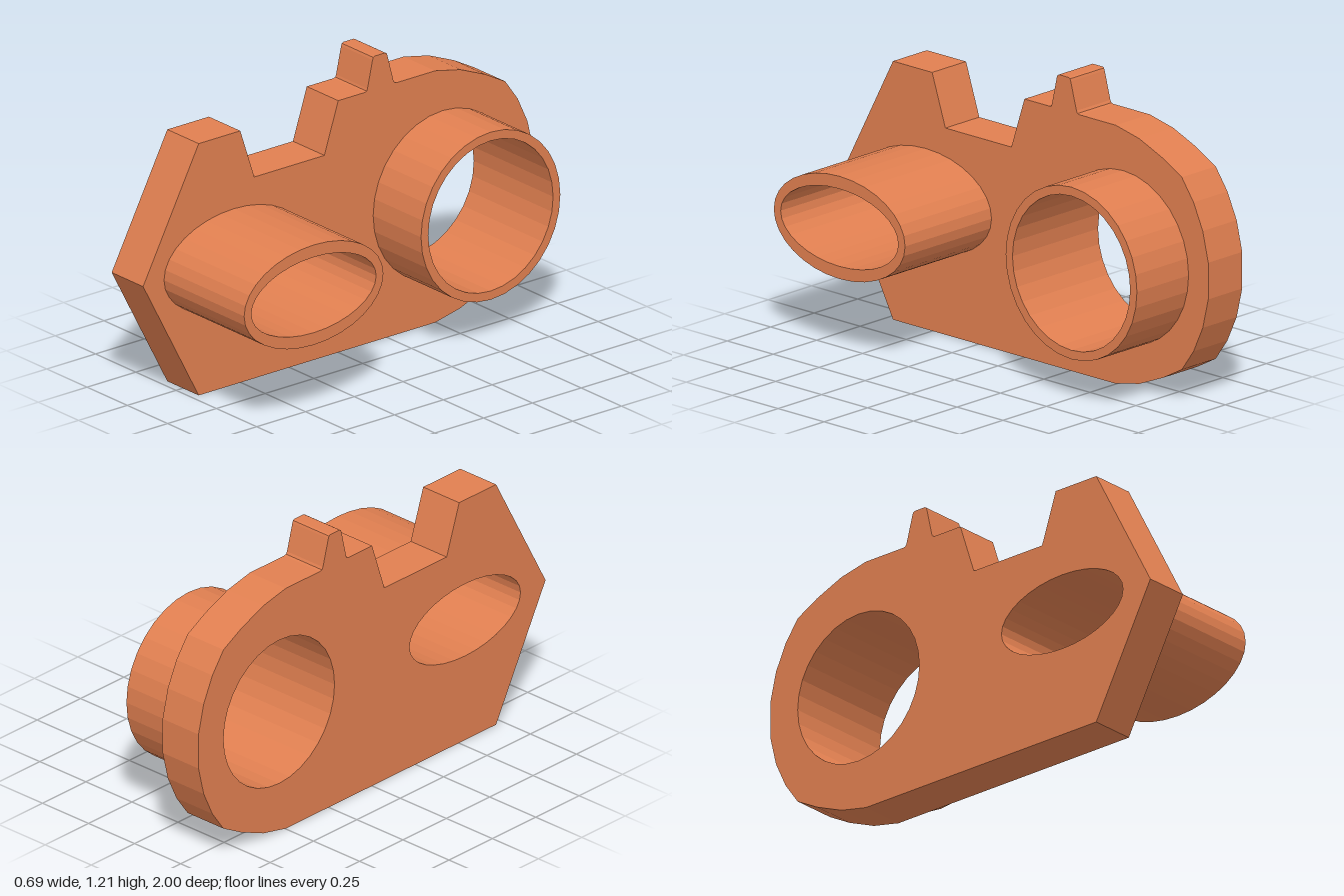
import * as THREE from 'three';

const MID = 0.536; // height of the bore axes
const PLATE_X = -0.347, FACE_X = -0.152;

const material = new THREE.MeshStandardMaterial({ color: 0xe07f50 });

const ellipse = (Type, u, ru, rv) => new Type().absellipse(u, MID, ru, rv, 0, Math.PI * 2, false, 0);

// Extrude a side profile (u = -z, v = y) along x from x0 to x1
function extrudeX(name, shape, x0, x1) {
  const geometry = new THREE.ExtrudeGeometry(shape, { depth: x1 - x0, bevelEnabled: false, curveSegments: 16 });
  geometry.rotateY(Math.PI / 2).translate(x0, 0, 0);
  const mesh = new THREE.Mesh(geometry, material);
  mesh.name = name;
  return mesh;
}

export function createModel() {
  const group = new THREE.Group();
  group.name = 'bracket';

  // Bores: centre, outer radii, inner radii and far end of each tube
  const tubes = [
    { name: 'roundTube', u: 0.536, outer: [0.357, 0.357], inner: [0.32, 0.32], end: 0.145 },
    { name: 'ovalTube', u: -0.536, outer: [0.357, 0.213], inner: [0.32, 0.161], end: 0.345 },
  ];

  // Plate outline: pointed front, faceted round back, tooth and notch on top
  const lowerRound = [[0.497, 0], [0.626, 0.028], [0.754, 0.081], [0.856, 0.137], [0.92, 0.227], [0.97, 0.335], [1, 0.46]];
  const upperRound = lowerRound.map(([u, v]) => [u, 2 * MID - v]).reverse();
  const tooth = [[0.3, 1.072], [0.289, 1.075], [0.283, 1.085], [0.252, 1.2], [0.248, 1.21], [0.241, 1.214],
    [0.187, 1.214], [0.18, 1.21], [0.176, 1.2], [0.15, 1.085], [0.146, 1.075], [0.137, 1.072]];
  const notch = [[0, 1.072], [-0.071, 0.857], [-0.43, 0.857], [-0.502, 1.072]];
  const outline = [[-1, MID], [-0.715, 0], ...lowerRound, ...upperRound, ...tooth, ...notch, [-0.715, 1.072]];
  const plate = new THREE.Shape(outline.map(([u, v]) => new THREE.Vector2(u, v)));
  for (const t of tubes) plate.holes.push(ellipse(THREE.Path, t.u, ...t.inner));
  group.add(extrudeX('plate', plate, PLATE_X, FACE_X));

  // Hollow tubes standing on the plate
  for (const t of tubes) {
    const ring = ellipse(THREE.Shape, t.u, ...t.outer);
    ring.holes.push(ellipse(THREE.Path, t.u, ...t.inner));
    group.add(extrudeX(t.name, ring, FACE_X, t.end));
  }
  return group;
}
